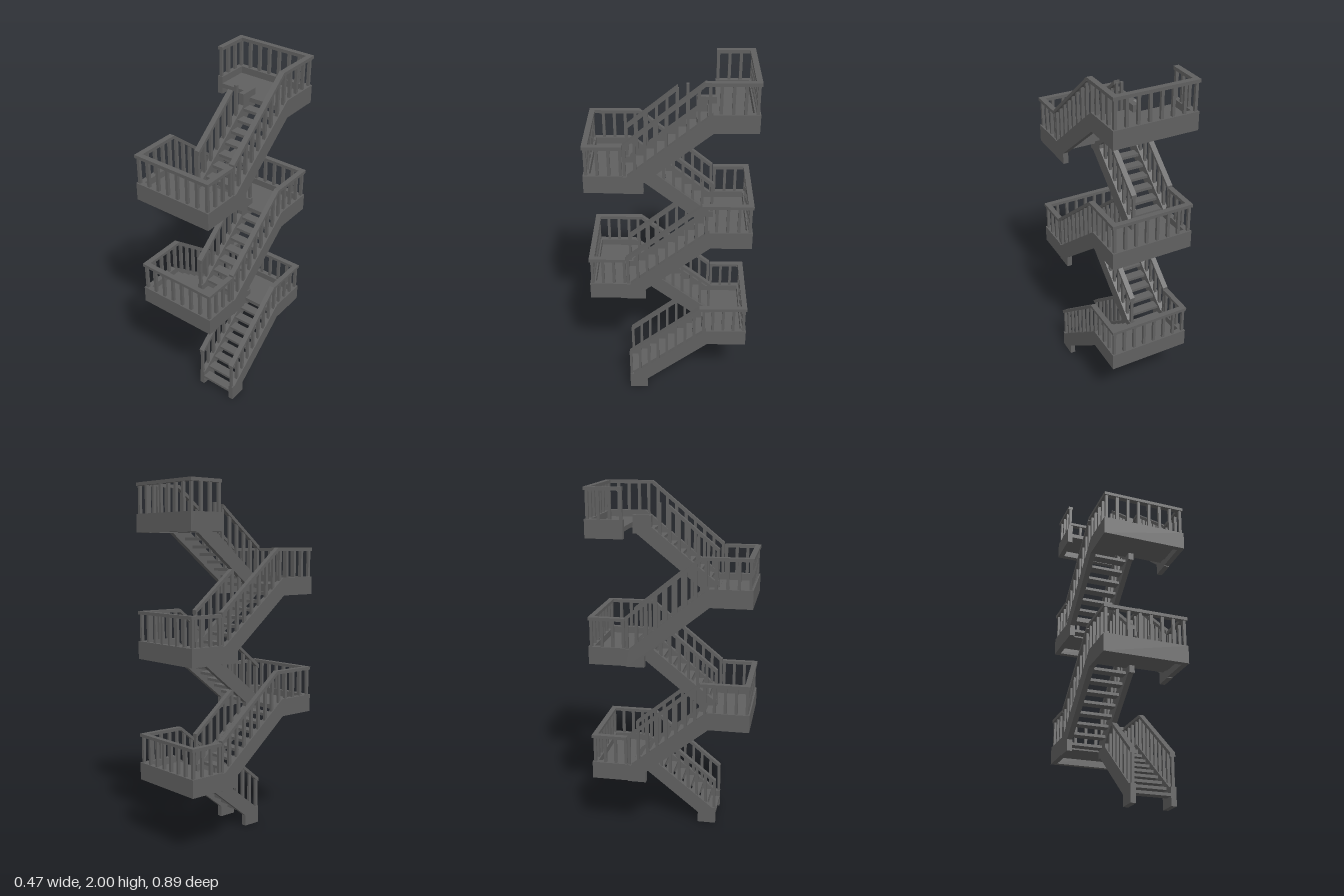
import * as THREE from 'three';

const RISE = 0.346;           // height of one storey
const LEVELS = 5;
const W = 0.03;               // stringer and handrail width
const XO = 0.22, XI = 0;      // outer and inner stringer centres
const TREAD = 0.0537, STEP = RISE / 8;
const FLOOR = 0.412, BEAM0 = 0.35, BEAM1 = 0.45, TOP = 0.616;
const RAIL_H = 0.018, POST = 0.016;

const material = new THREE.MeshStandardMaterial({ color: 0x606060 });

// Box given by its limits on each axis
function box(parent, name, x0, x1, y0, y1, z0, z1) {
  const mesh = new THREE.Mesh(new THREE.BoxGeometry(x1 - x0, y1 - y0, z1 - z0), material);
  mesh.position.set((x0 + x1) / 2, (y0 + y1) / 2, (z0 + z1) / 2);
  mesh.name = name;
  parent.add(mesh);
}

// Side profile of [z, y] points, extruded across x
function plate(parent, name, points, x, width) {
  const shape = new THREE.Shape(points.map(([z, y]) => new THREE.Vector2(z, y)));
  const geo = new THREE.ExtrudeGeometry(shape, { depth: width, bevelEnabled: false });
  geo.rotateY(-Math.PI / 2).translate(x + width / 2, 0, 0);
  const mesh = new THREE.Mesh(geo, material);
  mesh.name = name;
  parent.add(mesh);
}

function post(parent, x, z, y0, y1) {
  const h = POST / 2;
  box(parent, 'baluster', x - h, x + h, y0, y1, z - h, z + h);
}

const stringerTop = z => Math.min(BEAM1, 0.1 + 0.806 * (0.22 - z));
const railTop = z => Math.min(TOP, TOP - 0.82 * (z + 0.172));

function createFlight() {
  const flight = new THREE.Group();
  flight.name = 'flight';

  // Stringers with a flat foot; the inner one also has a raised head block
  const under = [[0.24, 0], [0.24, 0.1], [0.22, 0.1]];
  const foot = [[-0.24, BEAM1], [-0.24, BEAM0], [-0.22, BEAM0], [0.135, 0.064], [0.135, 0]];
  plate(flight, 'outerStringer', [...under, [-0.214, BEAM1], ...foot], XO, W);
  plate(flight, 'innerStringer', [...under, [-0.135, 0.386], [-0.135, BEAM1], ...foot], XI, W);

  // Open treads
  for (let j = 1; j <= 8; j++) {
    const y = FLOOR - j * STEP, z = -0.19 + (j - 1) * TREAD;
    box(flight, 'tread', W / 2, XO - W / 2, y - 0.016, y, z, z + TREAD);
  }

  // Sloping handrails; the inner one stops short below the next flight
  for (const [name, x, end] of [['outerHandrail', XO, -0.172], ['innerHandrail', XI, -0.04]]) {
    const a = railTop(0.24), b = railTop(end), t = 0.022;
    plate(flight, name, [[0.24, a - t], [0.24, a], [end, b], [end, b - t]], x, W);
  }

  // Balusters along the slope
  for (let k = 0; k <= 8; k++) {
    const z = 0.232 - k * TREAD;
    const y0 = stringerTop(z) - 0.015;
    post(flight, XO, z, y0, railTop(z) - 0.012);
    if (k <= 6) post(flight, XI, z, y0, Math.min(railTop(z) - 0.012, TOP - 0.1));
  }
  return flight;
}

function createLanding() {
  const landing = new THREE.Group();
  landing.name = 'landing';
  const o = XO + W / 2, i = XO - W / 2, back = -0.447;

  // Floor with a tongue meeting the arriving flight
  box(landing, 'floor', -i, i, FLOOR - 0.025, FLOOR, back + W, -0.24);
  box(landing, 'floorTongue', W / 2, i, FLOOR - 0.025, FLOOR, -0.24, -0.19);

  // Edge beams
  box(landing, 'backBeam', -o, o, BEAM0, BEAM1, back, back + W);
  box(landing, 'arrivalBeam', i, o, BEAM0, BEAM1, back + W, -0.24);
  box(landing, 'departureBeam', -o, -i, BEAM0, BEAM1, back + W, -0.24);

  // Level handrails
  box(landing, 'backHandrail', -o, o, TOP - RAIL_H, TOP, back, back + W);
  box(landing, 'arrivalHandrail', i, o, TOP - RAIL_H, TOP, back + W, -0.172);
  box(landing, 'departureHandrail', -o, -i, TOP - RAIL_H, TOP, back + W, -0.243);

  // Balusters on three sides
  for (let k = 0; k < 8; k++) post(landing, -XO + k * XO * 2 / 7, -0.432, BEAM1, TOP - RAIL_H);
  for (let k = 1; k < 4; k++)
    for (const x of [-XO, XO]) post(landing, x, -0.432 + k * 0.06, BEAM1, TOP - RAIL_H);
  return landing;
}

export function createModel() {
  const model = new THREE.Group();
  model.name = 'staircase';
  // Each storey is turned half round above the one below
  for (let n = 0; n < LEVELS; n++) {
    const storey = new THREE.Group();
    storey.name = 'storey';
    storey.add(createFlight(), createLanding());
    storey.position.y = n * RISE;
    storey.rotation.y = n % 2 ? Math.PI : 0;
    model.add(storey);
  }
  return model;
}
